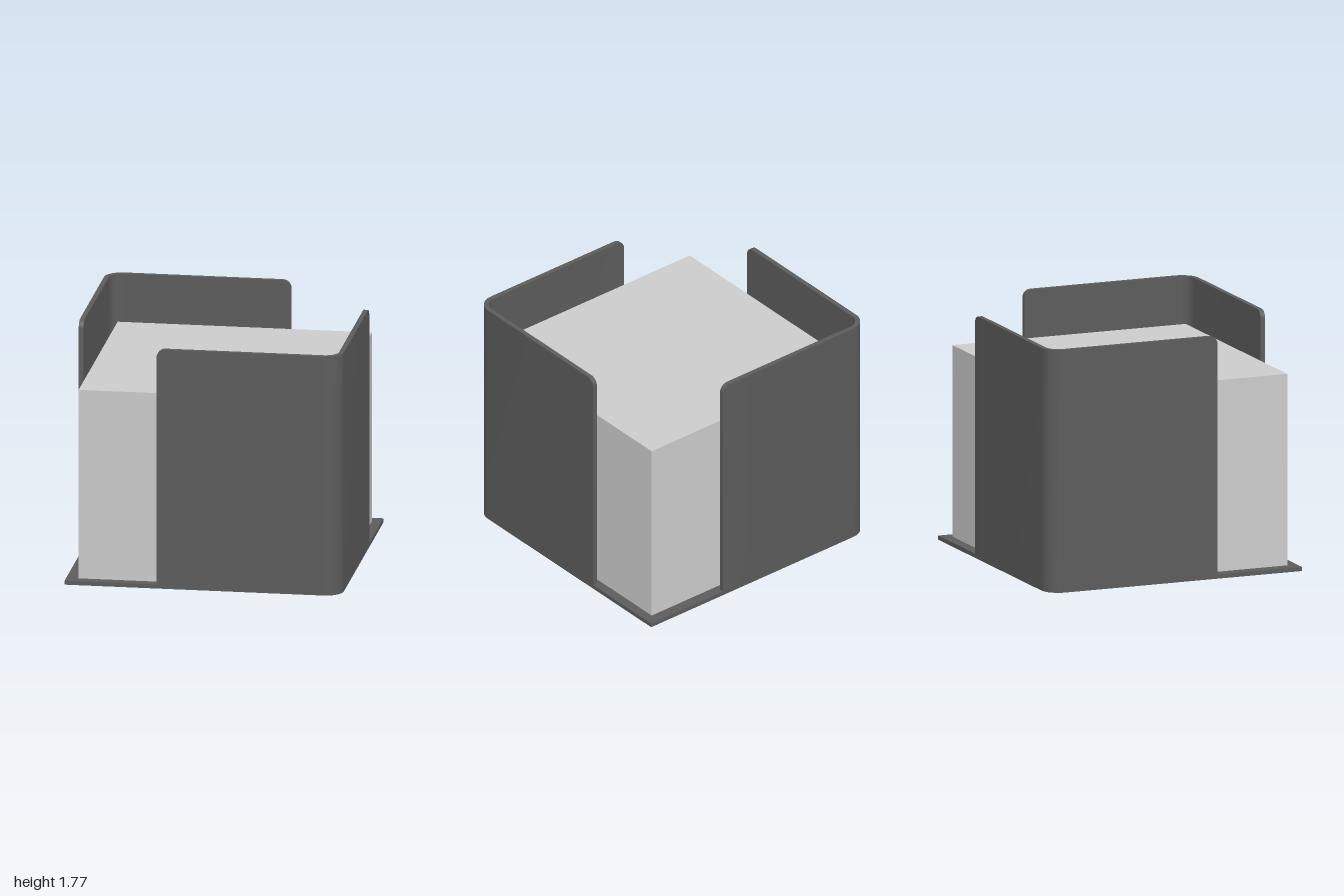
import * as THREE from 'three';
import { toCreasedNormals } from 'three/addons/utils/BufferGeometryUtils.js';

const W = 1, D = 0.985;            // half width and half depth
const BASE = 0.03, TOP = 1.775;    // base thickness and wall height
const T = 0.035, R = 0.13;         // wall thickness and outer corner radius
const END_X = -0.335, END_Z = -0.33, FILLET = 0.06;

// Plate with two opposite corners rounded
function baseGeometry() {
  const s = new THREE.Shape();
  s.moveTo(-W, -D);
  s.lineTo(W - R, -D);
  s.absarc(W - R, -D + R, R, -Math.PI / 2, 0, false);
  s.lineTo(W, D);
  s.lineTo(-W + R, D);
  s.absarc(-W + R, D - R, R, Math.PI / 2, Math.PI, false);
  s.closePath();
  const g = new THREE.ExtrudeGeometry(s, { depth: BASE, bevelEnabled: false, curveSegments: 8 });
  g.rotateX(-Math.PI / 2);
  return toCreasedNormals(g, 0.6);
}

// Corner wall: a rectangular section swept round the corner, its height falling at both ends
function wallGeometry() {
  const stations = [];             // x, z, outward normal, top height
  const add = (x, z, nx, nz, y) => stations.push({ x, z, nx, nz, y });
  const fillet = [];
  for (let i = 0; i <= 6; i++) {
    const a = (i / 6) * Math.PI / 2;
    fillet.push([FILLET * (1 - Math.cos(a)), TOP - FILLET * (1 - Math.sin(a))]);
  }
  for (const [d, y] of fillet) add(END_X + d, D, 0, 1, y);
  for (let i = 0; i <= 8; i++) {
    const a = (i / 8) * Math.PI / 2, s = Math.sin(a), c = Math.cos(a);
    add(W - R + R * s, D - R + R * c, s, c, TOP);
  }
  for (const [d, y] of fillet.reverse()) add(W, END_Z + d, 1, 0, y);

  const pos = [], index = [];
  for (const { x, z, nx, nz, y } of stations) {
    const ix = x - nx * T, iz = z - nz * T;
    pos.push(x, BASE, z, x, y, z, ix, y, iz, ix, BASE, iz);
  }
  const n = stations.length;
  for (let i = 0; i < n - 1; i++) {
    for (let k = 0; k < 4; k++) {
      const a = i * 4 + k, d = i * 4 + (k + 1) % 4;
      index.push(a, a + 4, d + 4, a, d + 4, d);
    }
  }
  const e = (n - 1) * 4;
  index.push(0, 1, 2, 0, 2, 3, e, e + 2, e + 1, e, e + 3, e + 2);
  const g = new THREE.BufferGeometry();
  g.setAttribute('position', new THREE.Float32BufferAttribute(pos, 3));
  g.setIndex(index);
  return toCreasedNormals(g.toNonIndexed(), 0.6);
}

export function createModel() {
  const group = new THREE.Group();
  const plastic = new THREE.MeshStandardMaterial({ color: 0x5c5c5c });
  plastic.name = 'dark grey plastic';
  const paper = new THREE.MeshStandardMaterial({ color: 0xcccccc });
  paper.name = 'light grey paper';
  const part = (name, geometry, material) => {
    const m = new THREE.Mesh(geometry, material);
    m.name = name;
    group.add(m);
    return m;
  };

  part('basePlate', baseGeometry(), plastic);

  // Two identical walls on opposite corners
  const wall = wallGeometry();
  part('frontLeftWall', wall, plastic);
  part('backRightWall', wall, plastic).rotation.y = Math.PI;

  // Paper block resting on the plate
  part('paperBlock', new THREE.BoxGeometry(1.84, 1.4, 1.815), paper).position.set(0.01, BASE + 0.7, 0.003);
  return group;
}
